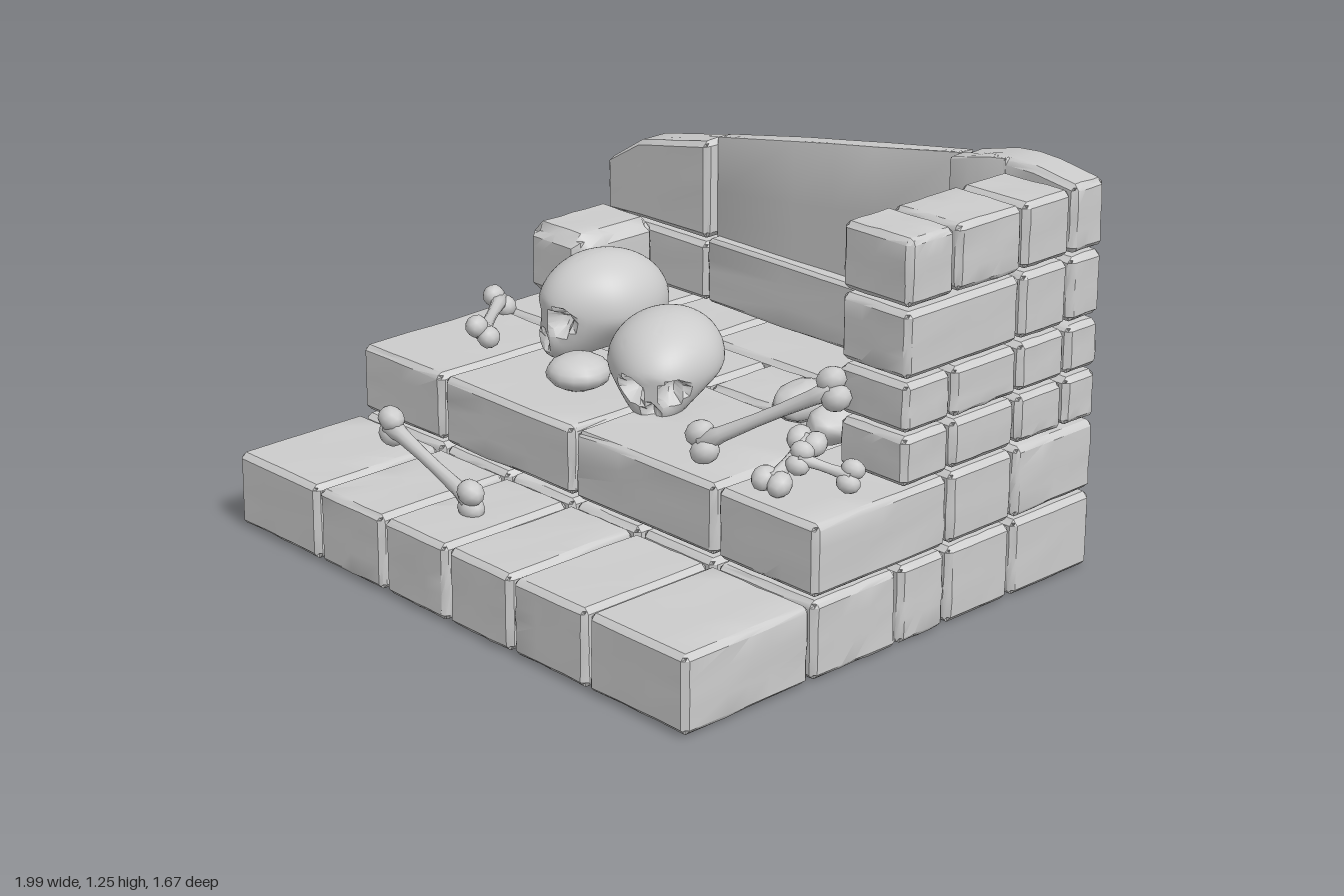
import * as THREE from 'three';
import { toCreasedNormals, mergeVertices } from 'three/addons/utils/BufferGeometryUtils.js';

const stoneGrey = new THREE.MeshStandardMaterial({ color: 0xcccccc });
stoneGrey.name = 'stoneGrey';

// smooth wobble in -1..1 that depends only on position
const wobble = (x, y, z, s) =>
  Math.sin(x * 9.1 + y * 6.3 + s) * Math.sin(y * 11.7 - z * 7.9 + s * 2.3) * Math.cos(z * 10.3 + x * 5.1 - s);

let seed = 7;
const rand = () => (seed = (seed * 16807) % 2147483647) / 2147483647;

function addMesh(parent, geometry, name) {
  const mesh = new THREE.Mesh(geometry, stoneGrey);
  mesh.name = name;
  parent.add(mesh);
  return mesh;
}

// Weathered block between two corners; top(x) optionally slopes its upper face
function stone(parent, name, [x0, x1], [y0, y1], [z0, z1], { r = 0.02, top = null } = {}) {
  const gap = 0.003, half = [(x1 - x0) / 2 - gap, (y1 - y0) / 2 - gap, (z1 - z0) / 2 - gap];
  const mid = [(x0 + x1) / 2, (y0 + y1) / 2, (z0 + z1) / 2];
  const geo = new THREE.BoxGeometry(2, 2, 2, 6, 6, 6);
  const pos = geo.attributes.position, s = rand() * 20;
  for (let i = 0; i < pos.count; i++) {
    const t = [pos.getX(i), pos.getY(i), pos.getZ(i)];
    const edges = t.filter(v => Math.abs(v) > 0.9).length;
    const p = t.map((v, k) => {
      const a = Math.abs(v);
      return Math.sign(v) * (a > 0.9 ? half[k] : a > 0.6 ? half[k] - r : half[k] * a);
    });
    // chip edges and corners by an uneven amount
    const n = 0.5 + 0.5 * wobble(p[0] * 3, p[1] * 3, p[2] * 3, s);
    const chip = edges > 1 ? r * (0.25 + 0.35 * n) * (edges - 0.7) : 0.006 * n;
    const q = p.map((v, k) => mid[k] + v - (Math.abs(t[k]) > 0.9 ? Math.sign(v) * chip : 0));
    if (top) q[1] = y0 + (q[1] - y0) * (top(q[0]) - y0) / (y1 - y0);
    pos.setXYZ(i, ...q);
  }
  return addMesh(parent, toCreasedNormals(geo, 0.55), name);
}

// Straight-line interpolation through [x, y] points
const slope = points => x => {
  let i = 0;
  while (i < points.length - 2 && x > points[i + 1][0]) i++;
  const [a, b] = [points[i], points[i + 1]];
  return a[1] + (b[1] - a[1]) * THREE.MathUtils.clamp((x - a[0]) / (b[0] - a[0]), 0, 1);
};

// Course of stones filling a grid of x and z edges
function course(parent, name, xs, y, zs) {
  for (let i = 0; i < xs.length - 1; i++)
    for (let j = 0; j < zs.length - 1; j++)
      stone(parent, name, [xs[i], xs[i + 1]], y, [zs[j], zs[j + 1]]);
}

// Skull facing local +z, with sockets and nose pressed in
function skull(parent, name, size, place, rotation) {
  let geo = new THREE.SphereGeometry(1, 48, 36);
  geo.deleteAttribute('uv');
  geo.deleteAttribute('normal');
  geo = mergeVertices(geo, 1e-4);
  const pos = geo.attributes.position, v = new THREE.Vector3();
  const dents = [[-0.42, -0.1, 0.9, 0.24, 0.3], [0.42, -0.1, 0.9, 0.24, 0.3], [0, -0.45, 0.9, 0.13, 0.18]];
  for (let i = 0; i < pos.count; i++) {
    v.fromBufferAttribute(pos, i);
    const dir = v.clone();
    const front = THREE.MathUtils.smoothstep(v.z, 0.1, 0.8);
    const low = THREE.MathUtils.smoothstep(-v.y, 0.05, 0.7);
    v.x *= 1 - 0.2 * low - 0.08 * front;               // narrow cheeks
    v.z += 0.16 * front * low;                         // forward upper jaw
    v.y = Math.max(v.y - 0.22 * front * low, -0.95 + 0.25 * (1 - front)); // flat base
    v.z = Math.min(v.z, 0.97);                         // flattened face
    for (const [x, y, z, w, depth] of dents) {
      const d = dir.distanceTo(new THREE.Vector3(x, y, z).normalize());
      v.addScaledVector(dir, -depth * (1 - THREE.MathUtils.smoothstep(d, w * 0.6, w * 1.15)));
    }
    pos.setXYZ(i, v.x * size[0], v.y * size[1], v.z * size[2]);
  }
  const mesh = addMesh(parent, toCreasedNormals(geo, 0.7), name);
  mesh.position.set(...place);
  mesh.rotation.set(...rotation, 'YXZ');
}

// Long bone with two knuckles at each end
function bone(parent, name, a, b, r) {
  const start = new THREE.Vector3(...a), end = new THREE.Vector3(...b);
  const L = start.distanceTo(end), group = new THREE.Group();
  group.name = name;
  const profile = [[0, 0], [1.3, 0], [0.9, 0.15], [0.75, 0.4], [0.75, 0.6], [0.9, 0.85], [1.3, 1], [0, 1]];
  addMesh(group, new THREE.LatheGeometry(profile.map(([x, y]) => new THREE.Vector2(x * r, (y - 0.5) * L)), 10), 'boneShaft');
  for (const e of [-1, 1]) for (const side of [-1, 1]) {
    const knob = addMesh(group, new THREE.IcosahedronGeometry(r * 1.5, 1), 'boneKnuckle');
    knob.position.set(side * r * 1.05, e * L / 2, 0);
    knob.scale.set(1, 1.2, 1);
  }
  group.position.copy(start).lerp(end, 0.5);
  group.quaternion.setFromUnitVectors(new THREE.Vector3(0, 1, 0), end.sub(start).normalize());
  parent.add(group);
}

// Rounded lump, wobbled out of true
function lump(parent, name, place, size, yaw = 0, uneven = 0.12) {
  const geo = new THREE.SphereGeometry(1, 14, 10), pos = geo.attributes.position;
  for (let i = 0; i < pos.count; i++) {
    const p = [pos.getX(i), pos.getY(i), pos.getZ(i)];
    const k = 1 + uneven * wobble(p[0] * 0.3, p[1] * 0.3, p[2] * 0.3, place[0] * 9);
    pos.setXYZ(i, ...p.map((v, j) => v * k * size[j]));
  }
  geo.computeVertexNormals();
  const mesh = addMesh(parent, geo, name);
  mesh.position.set(...place);
  mesh.rotation.y = yaw;
}

export function createModel() {
  const model = new THREE.Group();
  model.name = 'ruinedSteps';

  // base course and lower step
  const columns = [-1, -0.6, -0.29, 0, 0.285, 0.6, 1];
  course(model, 'baseStone', columns, [0.01, 0.26], [-0.84, -0.48, -0.2, 0, 0.35]);
  course(model, 'lowerStepStone', columns, [0.01, 0.26], [0.35, 0.84]);

  // upper step
  course(model, 'upperStepStone', [-1, -0.6, 0, 0.6, 1], [0.26, 0.49], [-0.2, 0.35]);
  course(model, 'floorStone', [-1, -0.6, 0, 0.285, 0.6, 1], [0.26, 0.49], [-0.48, -0.2]);
  course(model, 'floorStone', [-1, -0.6, -0.29, 0.285, 1], [0.26, 0.49], [-0.84, -0.48]);

  // side wall and the corner behind it
  const rows = [
    [0.49, 0.65, [-0.69, -0.48, -0.2, 0]],
    [0.65, 0.81, [-0.69, -0.48, -0.2, 0]],
    [0.81, 1.02, [-0.69, -0.48, 0]],
    [1.02, 1.23, [-0.69, -0.48, -0.2, 0]],
  ];
  const cornerTop = slope([[0.51, 1.22], [0.7, 1.265], [0.82, 1.265], [1, 1.235]]);
  rows.forEach(([y0, y1, zs], i) => {
    course(model, 'sideWallStone', [0.73, 1], [y0, y1], zs);
    stone(model, 'cornerStone', [0.51, 1], [y0, y1], [-0.84, -0.69], i === 3 ? { top: cornerTop } : {});
  });
  stone(model, 'cornerFacing', [0.51, 0.74], [0.49, 1.22], [-0.76, -0.685], { top: cornerTop, r: 0.01 });

  // back wall: sill and recessed slanting panel
  const panelTop = slope([[-0.51, 1.05], [0, 1.14], [0.51, 1.225]]);
  stone(model, 'backSill', [-0.52, 0.52], [0.49, 0.72], [-0.8, -0.69], { r: 0.015 });
  stone(model, 'backPanel', [-0.52, 0.52], [0.49, 1.14], [-0.81, -0.735], { r: 0.008, top: panelTop });

  // broken pillar and low side block
  const pillarTop = slope([[-1, 0.85], [-0.97, 0.9], [-0.9, 0.965], [-0.51, 1.045]]);
  stone(model, 'brokenPillarBase', [-1, -0.51], [0.49, 0.7], [-0.84, -0.69]);
  stone(model, 'brokenPillar', [-1, -0.51], [0.7, 1], [-0.84, -0.69], { top: pillarTop });
  stone(model, 'lowSideBlock', [-1, -0.72], [0.49, 0.745], [-0.69, -0.33], { r: 0.045 });

  // skulls and loose ball-shaped piece
  skull(model, 'largeSkull', [0.17, 0.165, 0.215], [-0.42, 0.655, -0.16], [0, -0.22, 0]);
  skull(model, 'tippedSkull', [0.175, 0.14, 0.22], [-0.03, 0.6, -0.06], [0.12, 0.6, 0]);
  lump(model, 'roundPiece', [-0.245, 0.535, 0.1], [0.1, 0.055, 0.1], 0, 0.03);

  // long bones
  bone(model, 'leftBone', [-0.93, 0.52, -0.17], [-0.67, 0.555, 0.12], 0.024);
  bone(model, 'stepBone', [-0.58, 0.385, 0.56], [-0.14, 0.295, 0.62], 0.026);
  bone(model, 'leaningBone', [0.45, 0.55, 0.25], [0.81, 0.77, 0.09], 0.026);

  // small fragments
  lump(model, 'boneFragment', [0.415, 0.55, -0.2], [0.08, 0.06, 0.11]);
  lump(model, 'boneFragment', [0.6, 0.55, -0.15], [0.075, 0.06, 0.115]);
  bone(model, 'smallBone', [0.7, 0.58, 0.08], [0.74, 0.52, 0.26], 0.024);
  bone(model, 'smallBone', [0.76, 0.57, 0.17], [0.89, 0.535, 0.1], 0.02);
  return model;
}
